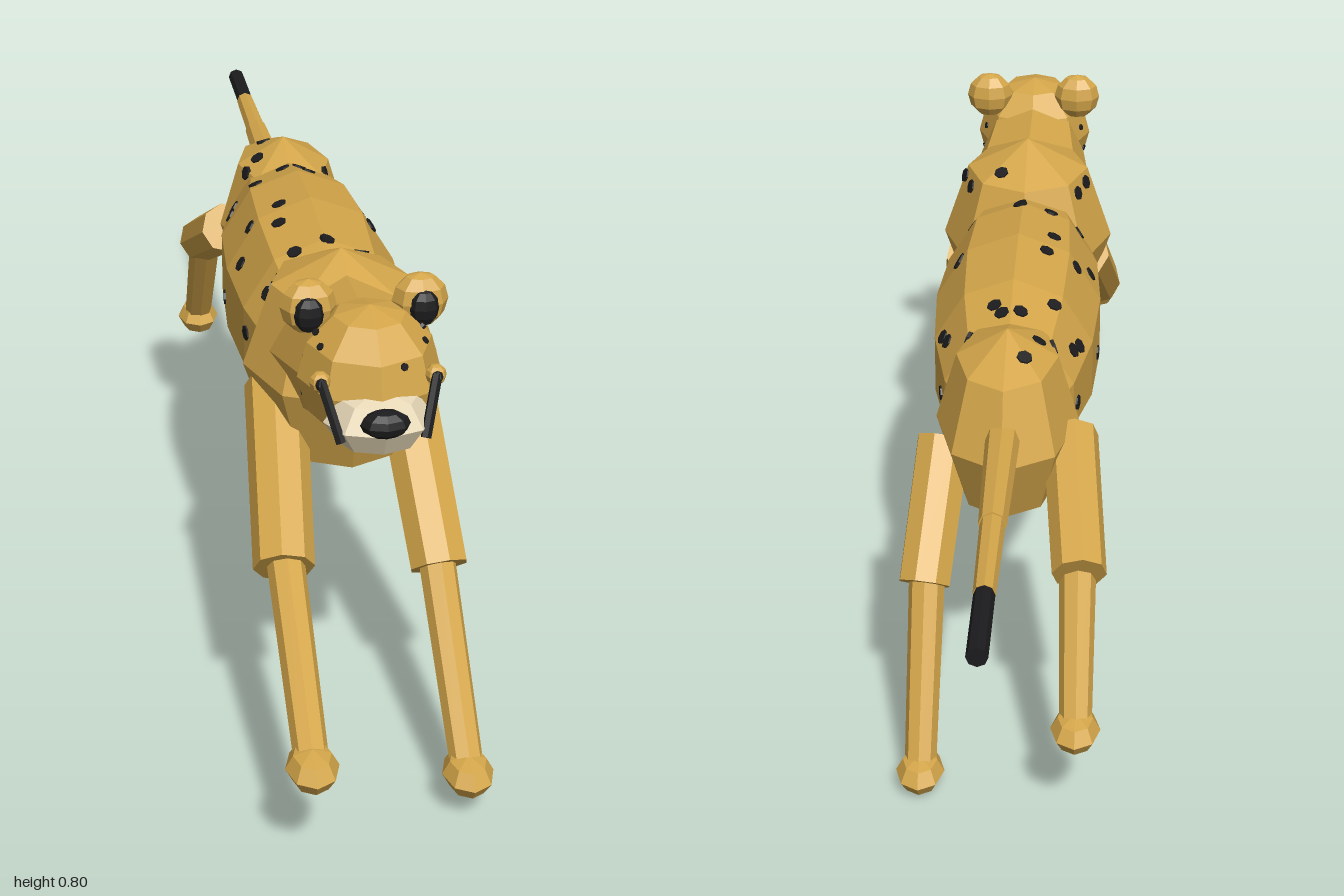
import * as THREE from 'three';

const flat = (color) => new THREE.MeshStandardMaterial({ color, flatShading: true });
const V = (x, y, z) => new THREE.Vector3(x, y, z);

export function createModel() {
  const root = new THREE.Group();
  root.name = 'runningCat';
  const gold = flat(0xd4a64a), black = flat(0x1c1c1e), cream = flat(0xe8d9b8);

  function add(name, geometry, material, parent = root) {
    const mesh = new THREE.Mesh(geometry, material);
    mesh.name = name;
    parent.add(mesh);
    return mesh;
  }

  // Faceted ellipsoid
  function blob(name, center, radii, material, w = 8, h = 4, parent = root) {
    const mesh = add(name, new THREE.SphereGeometry(1, w, h), material, parent);
    mesh.position.set(...center);
    mesh.scale.set(...radii);
    return mesh;
  }

  // Tapered cylinder between two points
  function limb(name, a, b, ra, rb, material, sides = 8, parent = root) {
    const dir = b.clone().sub(a);
    const mesh = add(name, new THREE.CylinderGeometry(rb, ra, dir.length(), sides), material, parent);
    mesh.position.copy(a).add(b).multiplyScalar(0.5);
    mesh.quaternion.setFromUnitVectors(V(0, 1, 0), dir.normalize());
    return mesh;
  }

  // Barrel of the body: ten-sided, lengthwise along z
  const profile = [];
  for (let i = 0; i <= 8; i++) {
    const t = -Math.PI / 2 + (i / 8) * Math.PI;
    const r = Math.pow(Math.max(0, Math.cos(t)), 0.85);
    profile.push(new THREE.Vector2(r, Math.sin(t)));
  }
  const barrelGeometry = new THREE.LatheGeometry(profile, 10);
  barrelGeometry.rotateX(Math.PI / 2);
  const barrel = add('barrel', barrelGeometry, gold);
  barrel.scale.set(0.152, 0.178, 0.41);
  barrel.position.set(0, 0.538, 0.065);

  // Chest, hips, neck and head
  const chest = blob('chest', [0, 0.57, 0.39], [0.157, 0.19, 0.175], gold);
  const hips = blob('hips', [0, 0.537, -0.27], [0.118, 0.165, 0.178], gold);
  limb('neck', V(0, 0.61, 0.42), V(0, 0.65, 0.60), 0.125, 0.098, gold);
  const head = blob('head', [0, 0.67, 0.65], [0.108, 0.11, 0.115], gold, 8, 6);

  // Face
  blob('muzzle', [0, 0.636, 0.735], [0.082, 0.05, 0.065], cream, 8, 4);
  blob('nose', [0, 0.655, 0.79], [0.037, 0.021, 0.025], black, 8, 6);
  for (const s of [-1, 1]) {
    const side = s > 0 ? 'left' : 'right';
    blob(side + 'Ear', [s * 0.084, 0.762, 0.603], [0.043, 0.043, 0.032], gold, 8, 6);
    blob(side + 'InnerEar', [s * 0.086, 0.758, 0.626], [0.023, 0.029, 0.016], black, 8, 6);
    blob(side + 'Eye', [s * 0.085, 0.697, 0.726], [0.016, 0.016, 0.016], gold, 8, 6);
    blob(side + 'Pupil', [s * 0.085, 0.698, 0.738], [0.009, 0.01, 0.009], black, 6, 4);
    limb(side + 'TearStripe', V(s * 0.085, 0.703, 0.737), V(s * 0.062, 0.622, 0.778), 0.008, 0.008, black, 6);
  }

  // Legs: side, upper joint, knee and paw as [y, z]
  const legs = [
    ['frontLeftLeg', 1, [0.52, 0.39], [0.288, 0.588], [0.072, 0.837], 0.05],
    ['frontRightLeg', -1, [0.53, 0.39], [0.345, 0.65], [0.183, 0.942], 0.05],
    ['backLeftLeg', 1, [0.50, -0.28], [0.31, -0.43], [0.033, -0.566], 0.046],
    ['backRightLeg', -1, [0.52, -0.29], [0.40, -0.525], [0.183, -0.64], 0.046],
  ];
  for (const [name, s, top, knee, paw, r] of legs) {
    const leg = new THREE.Group();
    leg.name = name;
    root.add(leg);
    const a = V(s * 0.105, ...top), b = V(s * 0.128, ...knee), c = V(s * 0.128, ...paw);
    limb('upperLeg', a, b, r, r * 0.96, gold, 8, leg);
    limb('lowerLeg', b.clone().lerp(a, 0.15), c, 0.03, 0.026, gold, 8, leg);
    blob('paw', c.toArray(), [0.04, 0.031, 0.055], gold, 8, 4, leg);
  }

  // Tail in stepped sections with a dark tip
  limb('tailBase', V(0, 0.575, -0.40), V(0, 0.572, -0.66), 0.028, 0.022, gold);
  limb('tailMiddle', V(0, 0.572, -0.64), V(0, 0.57, -0.845), 0.02, 0.017, gold);
  limb('tailTip', V(0, 0.57, -0.84), V(0, 0.57, -1), 0.016, 0.016, black);

  // Coat spots: thin discs laid on the surface where a ray meets it
  root.updateMatrixWorld(true);
  const spots = new THREE.Group();
  spots.name = 'spots';
  root.add(spots);
  const coat = [barrel, chest, hips, head];
  const ray = new THREE.Raycaster();
  function spot(from, dir, size = 0.013) {
    ray.set(from, dir);
    const hit = ray.intersectObjects(coat, false)[0];
    if (!hit) return;
    const normalMatrix = new THREE.Matrix3().getNormalMatrix(hit.object.matrixWorld);
    const normal = hit.face.normal.clone().applyMatrix3(normalMatrix).normalize();
    const disc = add('spot', new THREE.CylinderGeometry(size, size, 0.006, 7), black, spots);
    disc.position.copy(hit.point);
    disc.quaternion.setFromUnitVectors(V(0, 1, 0), normal);
  }
  // Flanks, as [y, z]
  const flank = [
    [0.685, 0.385], [0.68, 0.345], [0.535, 0.31], [0.475, 0.26], [0.55, 0.255], [0.63, 0.28],
    [0.66, 0.07], [0.515, 0.03], [0.605, -0.12], [0.61, -0.145], [0.68, -0.145], [0.455, -0.15],
    [0.53, -0.18], [0.65, -0.21], [0.41, 0.27], [0.44, 0.29],
  ];
  for (const [y, z] of flank) {
    spot(V(1, y, z), V(-1, 0, 0));
    spot(V(-1, y, z - 0.02), V(1, 0, 0));
  }
  // Back and belly, as [x, z]
  const back = [
    [-0.03, -0.32], [-0.05, -0.25], [0.015, -0.17], [-0.07, -0.12], [-0.05, 0.04], [-0.06, 0.11],
    [0.105, 0.065], [-0.05, 0.225], [0.005, 0.22], [0.045, 0.32], [0.025, 0.49], [-0.125, 0.11],
  ];
  for (const [x, z] of back) {
    spot(V(x, 2, z), V(0, -1, 0));
    if (z > -0.2 && z < 0.4) spot(V(-x, -1, z + 0.03), V(0, 1, 0));
  }
  // Forehead and cheeks, as [y, z]
  spot(V(0.036, 0.717, 2), V(0, 0, -1), 0.006);
  for (const [y, z] of [[0.73, 0.68], [0.69, 0.62], [0.64, 0.64], [0.74, 0.65]]) {
    for (const s of [-1, 1]) spot(V(s, y, z), V(-s, 0, 0), 0.006);
  }

  return root;
}
